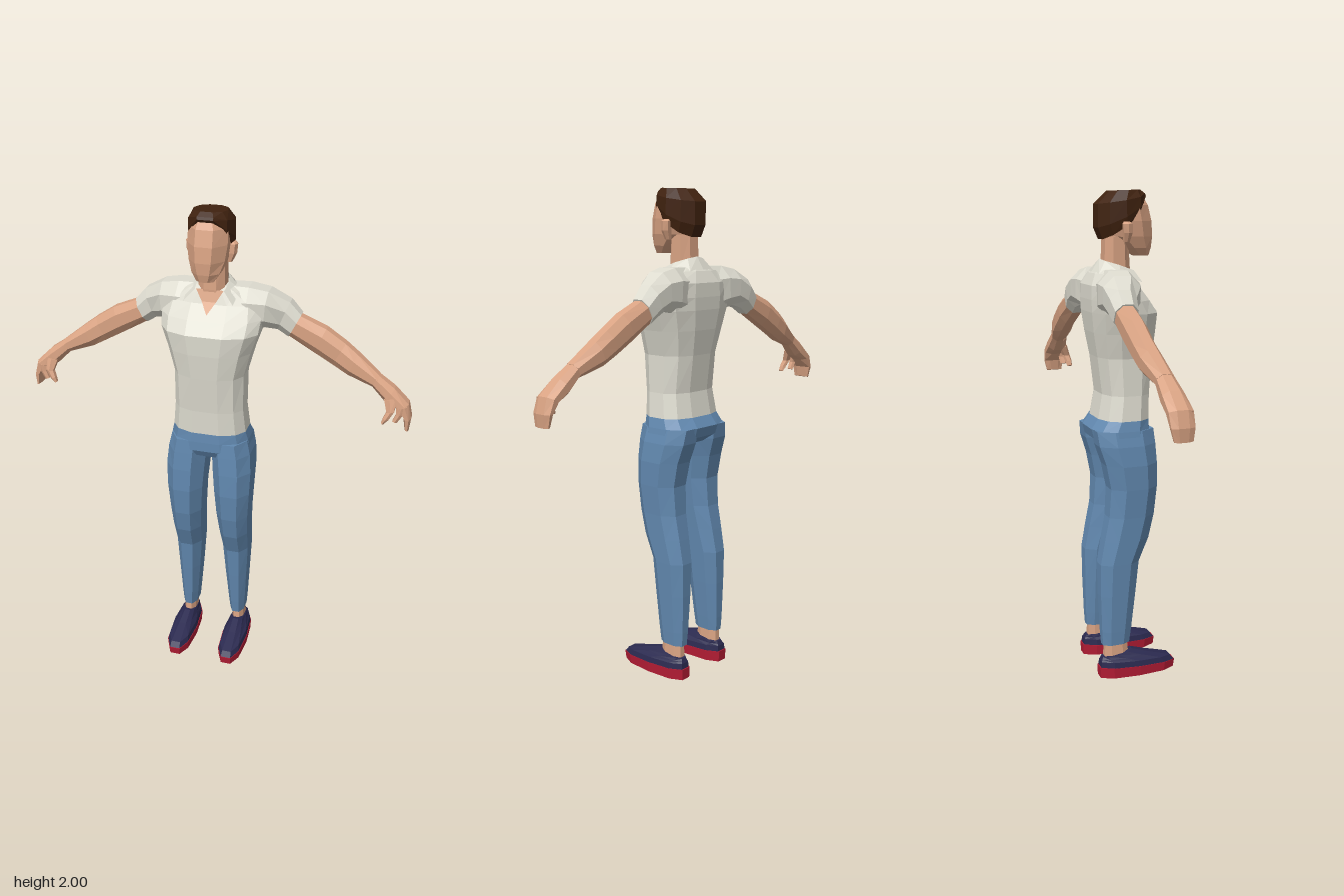
import * as THREE from 'three';

const mat = (name, color) => Object.assign(
  new THREE.MeshStandardMaterial({ color, flatShading: true, side: THREE.DoubleSide }), { name });

// Rounded-square outline, counter-clockwise: [along first axis, along second axis], each reaching 1
function outline(n, p) {
  const soft = (v) => Math.sign(v) * Math.abs(v) ** p;
  const max = Math.cos(Math.PI / n) ** p;
  return Array.from({ length: n }, (_, i) => {
    const a = ((i + 0.5) / n) * Math.PI * 2;
    return [soft(Math.cos(a)) / max, soft(Math.sin(a)) / max];
  });
}

// Level cross-section; yBack lets it tilt from front to back
function level(y, xMin, xMax, zf, zb, n = 8, p = 0.85, yBack = y) {
  return outline(n, p).map(([c, s]) => {
    const t = (1 - c) / 2;
    return [(xMin + xMax) / 2 + s * (xMax - xMin) / 2, y + (yBack - y) * t ** 0.6, zf + (zb - zf) * t];
  });
}

// Limb cross-section between an upper/outer point and a lower/inner point
function limb([tx, ty, bx, by, z, r], n = 8) {
  return outline(n, 0.9).map(([c, s]) =>
    [(tx + bx) / 2 + c * (tx - bx) / 2, (ty + by) / 2 + c * (ty - by) / 2, z + s * r]);
}

// Closed skin through a list of rings; side -1 mirrors it to the other half
function loft(rings, side = 1) {
  const n = rings[0].length, pos = [], idx = [];
  const tri = (a, b, c) => (side > 0 ? idx.push(a, b, c) : idx.push(a, c, b));
  rings.forEach((ring) => ring.forEach(([x, y, z]) => pos.push(x * side, y, z)));
  for (let i = 0; i < rings.length - 1; i++) {
    for (let j = 0; j < n; j++) {
      const a = i * n + j, b = i * n + ((j + 1) % n);
      tri(a, b, b + n);
      tri(a, b + n, a + n);
    }
  }
  const end = (rings.length - 1) * n;
  for (let j = 1; j < n - 1; j++) {
    tri(0, j + 1, j);
    tri(end, end + j, end + j + 1);
  }
  const g = new THREE.BufferGeometry();
  g.setAttribute('position', new THREE.Float32BufferAttribute(pos, 3));
  g.setIndex(idx);
  g.computeVertexNormals();
  return g;
}

// Open band between two paths of equal length
function band(a, b, side = 1) {
  const pos = [];
  const put = (...pts) => (side > 0 ? pts : pts.reverse()).forEach(([x, y, z]) => pos.push(x * side, y, z));
  for (let i = 0; i < a.length - 1; i++) {
    put(a[i], b[i], b[i + 1]);
    put(a[i], b[i + 1], a[i + 1]);
  }
  const g = new THREE.BufferGeometry();
  g.setAttribute('position', new THREE.Float32BufferAttribute(pos, 3));
  g.computeVertexNormals();
  return g;
}

export function createModel() {
  const model = new THREE.Group();
  model.name = 'man';
  const skin = mat('skin', 0xd9a383), shirt = mat('shirt', 0xdedcd0), denim = mat('denim', 0x6289b0);
  const hair = mat('hair', 0x40220f), shoe = mat('shoe', 0x2b2a50), sole = mat('sole', 0xb31c34);
  const add = (name, geometry, material) => {
    const m = new THREE.Mesh(geometry, material);
    m.name = name;
    model.add(m);
  };
  // Centred stack of sections: [y, half width, front z, back z]
  const stack = (rows, n, p) => loft(rows.map(([y, r, f, b]) => level(y, -r, r, f, b, n, p)));

  // Shirt body
  add('shirtBody', stack([
    [1.1, 0.152, 0.075, -0.14], [1.2, 0.142, 0.078, -0.122], [1.35, 0.142, 0.092, -0.14],
    [1.45, 0.168, 0.1, -0.158], [1.53, 0.195, 0.102, -0.168], [1.58, 0.2, 0.064, -0.17],
    [1.635, 0.19, 0.018, -0.168], [1.68, 0.12, 0.0, -0.145], [1.7, 0.07, -0.015, -0.125],
  ], 12, 0.75), shirt);

  // Bare skin in the open neck
  add('neckOpening', band(
    [[0, 1.602, 0.054], [-0.028, 1.645, 0.02], [-0.055, 1.69, 0.005]],
    [[0, 1.602, 0.054], [0.028, 1.645, 0.02], [0.055, 1.69, 0.005]]), skin);

  // Trouser top
  add('trouserTop', stack([
    [0.99, 0.14, 0.06, -0.12], [1.02, 0.168, 0.078, -0.16], [1.06, 0.162, 0.078, -0.17],
    [1.1, 0.152, 0.075, -0.14],
  ], 12, 0.75), denim);

  // Neck and head
  add('neck', stack([[1.6, 0.055, 0.005, -0.11], [1.69, 0.052, 0.008, -0.1], [1.82, 0.052, 0.0, -0.095]]), skin);
  add('head', stack([
    [1.745, 0.034, 0.09, 0.03], [1.775, 0.054, 0.097, -0.015], [1.82, 0.07, 0.1, -0.08],
    [1.88, 0.078, 0.095, -0.105], [1.94, 0.077, 0.08, -0.11], [1.978, 0.058, 0.058, -0.08],
  ], 8, 0.95), skin);

  // Short hair, its lower edge falling from forehead to nape
  add('hair', loft([
    level(1.965, -0.08, 0.08, 0.066, -0.108, 10, 0.9, 1.81),
    level(1.975, -0.087, 0.087, 0.072, -0.127, 10, 0.9, 1.855),
    level(1.985, -0.086, 0.086, 0.068, -0.127, 10, 0.9, 1.945),
    level(2.0, -0.064, 0.064, 0.05, -0.075, 10, 0.9, 1.995),
  ]), hair);

  for (const side of [1, -1]) {
    const label = side > 0 ? 'left' : 'right';
    const both = (name, rings, material) => add(label + name, loft(rings, side), material);

    // Ear
    both('Ear', [
      level(1.8, 0.062, 0.08, -0.012, -0.035, 6), level(1.835, 0.065, 0.097, -0.005, -0.04, 6),
      level(1.87, 0.07, 0.1, -0.005, -0.045, 6), level(1.878, 0.07, 0.09, -0.015, -0.04, 6),
    ], skin);

    // Collar half
    add(label + 'Collar', band(
      [[0, 1.735, -0.113], [0.045, 1.728, -0.103], [0.064, 1.712, -0.05], [0.058, 1.69, 0.012]],
      [[0, 1.685, -0.145], [0.07, 1.68, -0.138], [0.105, 1.68, -0.06], [0.098, 1.645, 0.034]],
      -side), shirt);

    // Sleeve
    both('Sleeve', [
      [0.07, 1.695, 0.1, 1.5, -0.08, 0.075], [0.14, 1.695, 0.15, 1.52, -0.082, 0.085],
      [0.215, 1.68, 0.205, 1.535, -0.093, 0.076], [0.295, 1.635, 0.25, 1.52, -0.114, 0.054],
      [0.34, 1.585, 0.293, 1.492, -0.115, 0.046],
    ].map((s) => limb(s)), shirt);

    // Arm and hand with fingers curled downward
    both('Arm', [
      [0.325, 1.585, 0.285, 1.5, -0.115, 0.041], [0.44, 1.537, 0.395, 1.437, -0.117, 0.043],
      [0.52, 1.485, 0.47, 1.395, -0.116, 0.041], [0.57, 1.448, 0.535, 1.36, -0.11, 0.042],
      [0.662, 1.377, 0.642, 1.325, -0.094, 0.034],
    ].map((s) => limb(s)), skin);
    both('Hand', [
      [0.655, 1.38, 0.637, 1.327, -0.094, 0.034], [0.725, 1.332, 0.69, 1.275, -0.09, 0.042],
      [0.785, 1.275, 0.74, 1.25, -0.086, 0.046], [0.8, 1.215, 0.77, 1.215, -0.085, 0.044],
      [0.795, 1.165, 0.778, 1.17, -0.082, 0.035],
    ].map((s) => limb(s)), skin);
    both('Thumb', [
      [0.735, 1.3, 0.69, 1.29, -0.062, 0.02], [0.735, 1.25, 0.705, 1.245, -0.042, 0.016],
      [0.715, 1.215, 0.694, 1.22, -0.034, 0.014], [0.697, 1.195, 0.688, 1.2, -0.032, 0.01],
    ].map((s) => limb(s, 6)), skin);
    both('Forefinger', [
      [0.78, 1.27, 0.74, 1.26, -0.055, 0.016], [0.768, 1.235, 0.742, 1.235, -0.052, 0.014],
      [0.748, 1.2, 0.73, 1.205, -0.05, 0.012],
    ].map((s) => limb(s, 6)), skin);

    // Trouser leg, from cuff to hip: [y, inner x, outer x, front z, back z]
    both('TrouserLeg', [
      [0.14, 0.08, 0.143, -0.032, -0.148], [0.2, 0.074, 0.147, -0.024, -0.152],
      [0.36, 0.06, 0.155, -0.006, -0.157], [0.5, 0.049, 0.162, 0.008, -0.158],
      [0.6, 0.042, 0.166, 0.05, -0.14], [0.7, 0.034, 0.17, 0.073, -0.12],
      [0.82, 0.026, 0.178, 0.085, -0.113], [0.92, 0.018, 0.181, 0.084, -0.132],
      [1.0, 0.012, 0.174, 0.079, -0.158], [1.06, 0.01, 0.16, 0.074, -0.165],
    ].map((s) => level(...s)), denim);

    // Ankle
    both('Ankle', [
      level(0.07, 0.088, 0.142, -0.035, -0.142), level(0.16, 0.09, 0.138, -0.042, -0.137),
    ], skin);

    // Slip-on shoe
    both('Sole', [
      level(0, 0.066, 0.172, 0.165, -0.163, 10, 0.8),
      level(0.034, 0.064, 0.174, 0.17, -0.165, 10, 0.8, 0.046),
    ], sole);
    both('ShoeUpper', [
      level(0.034, 0.066, 0.172, 0.167, -0.16, 10, 0.8, 0.046),
      level(0.056, 0.07, 0.168, 0.15, -0.158, 10, 0.8, 0.07),
      level(0.085, 0.08, 0.156, 0.05, -0.154, 10, 0.8, 0.078),
      level(0.108, 0.086, 0.146, -0.022, -0.15, 10, 0.8, 0.088),
    ], shoe);
  }
  return model;
}
